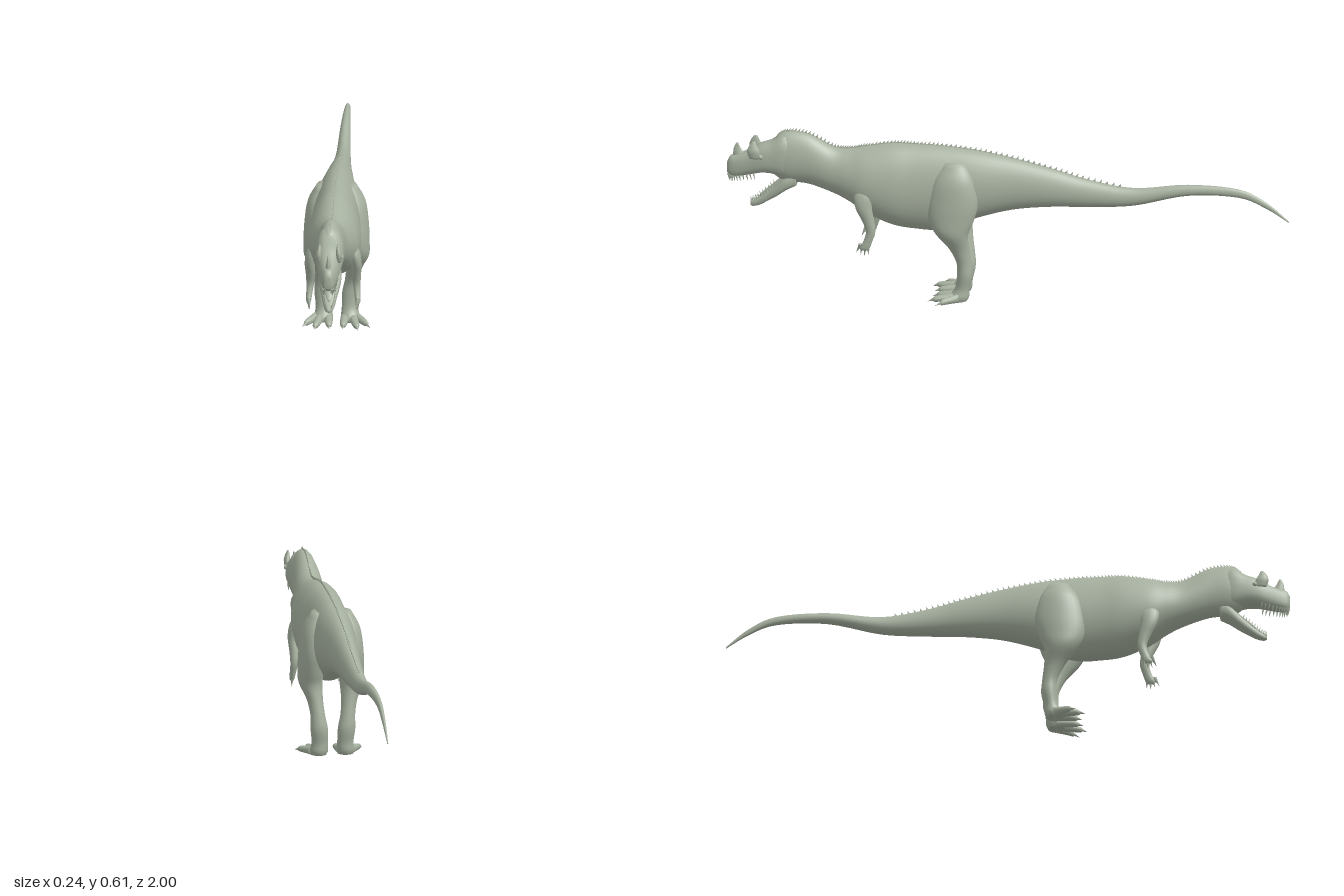
import * as THREE from 'three';
import { mergeGeometries } from 'three/addons/utils/BufferGeometryUtils.js';

const V = (x, y, z) => new THREE.Vector3(x, y, z);

// smooth curves through stations [x, y, z, halfWidth, otherHalf]
function stations(list) {
  const centre = new THREE.CatmullRomCurve3(list.map(p => V(p[0], p[1], p[2])), false, 'catmullrom', 0.5);
  const radii = new THREE.CatmullRomCurve3(list.map(p => V(p[3], p[4], 0)), false, 'catmullrom', 0.5);
  return t => ({ c: centre.getPoint(t), r: radii.getPoint(t) });
}

// closed skin over flat elliptical rings; axis 'z' runs to +z, axis 'y' runs downward
function loft(list, axis = 'z', { seg = 24, per = 4, pow = 1, taper = 0 } = {}) {
  const at = stations(list), rows = (list.length - 1) * per, pos = [], idx = [];
  const bend = v => Math.sign(v) * Math.pow(Math.abs(v), pow);
  for (let i = 0; i <= rows; i++) {
    const { c, r } = at(i / rows);
    for (let j = 0; j < seg; j++) {
      const a = (j / seg) * Math.PI * 2, s = bend(Math.sin(a)) * r.y;
      const w = bend(Math.cos(a)) * r.x * (1 - taper * Math.sin(a));
      pos.push(c.x + w, c.y + (axis === 'z' ? s : 0), c.z + (axis === 'z' ? 0 : s));
      if (i < rows) {
        const p = i * seg + j, q = i * seg + (j + 1) % seg;
        idx.push(p, q, p + seg, q, q + seg, p + seg);
      }
    }
  }
  // end caps
  const first = pos.length / 3, last = rows * seg;
  for (const t of [0, 1]) pos.push(...at(t).c.toArray());
  for (let j = 0; j < seg; j++) {
    const k = (j + 1) % seg;
    idx.push(first, k, j, first + 1, last + j, last + k);
  }
  const g = new THREE.BufferGeometry();
  g.setAttribute('position', new THREE.Float32BufferAttribute(pos, 3));
  g.setIndex(idx);
  g.computeVertexNormals();
  return g;
}

// pointed cone from a to b, optionally flattened sideways
function spike(a, b, radius, flat = 1, seg = 6) {
  const d = b.clone().sub(a), g = new THREE.ConeGeometry(radius, d.length(), seg);
  g.scale(flat, 1, 1);
  g.applyQuaternion(new THREE.Quaternion().setFromUnitVectors(V(0, 1, 0), d.normalize()));
  const m = a.clone().add(b).multiplyScalar(0.5);
  return g.translate(m.x, m.y, m.z);
}

// profile row [z, top, bottom, halfWidth] to station
const row = ([z, top, bottom, w]) => [0, (top + bottom) / 2, z, w, (top - bottom) / 2];

export function createModel() {
  const model = new THREE.Group();
  const skin = new THREE.MeshStandardMaterial({ color: 0xa7b1a0 });
  skin.name = 'sage skin';
  const add = (name, geometry) => {
    const m = new THREE.Mesh(geometry, skin);
    m.name = name;
    model.add(m);
    return m;
  };

  // tail, trunk and neck in one skin
  const bodyRows = [
    [-1, .333, .327, .002], [-.92, .4, .377, .006], [-.82, .446, .415, .01], [-.64, .455, .415, .017],
    [-.45, .434, .37, .025], [-.29, .458, .358, .034], [-.155, .495, .353, .045], [-.02, .528, .337, .058],
    [.11, .552, .3, .076], [.23, .564, .252, .085], [.33, .567, .252, .089], [.41, .567, .265, .094],
    [.5, .553, .305, .09], [.56, .541, .345, .075], [.62, .545, .374, .06], [.71, .589, .403, .051],
    [.79, .594, .41, .049], [.83, .565, .435, .04], [.84, .53, .47, .02],
  ].map(row);
  add('body', loft(bodyRows, 'z', { seg: 36, per: 5, taper: 0.12 }));

  // row of small spines down the back
  const bodyAt = stations(bodyRows), spines = [];
  for (let i = 0; i <= 85; i++) {
    const { c, r } = bodyAt(0.24 + (i / 85) * 0.68), y = c.y + r.y;
    spines.push(spike(V(0, y - .005, c.z), V(0, y + .012, c.z - .008), .007, .35, 5));
  }
  add('backSpines', mergeGeometries(spines));

  // skull with upper jaw
  const skullRows = [
    [.74, .55, .44, .035], [.79, .588, .425, .049], [.84, .56, .438, .048], [.88, .545, .438, .044],
    [.92, .52, .429, .036], [.96, .503, .42, .028], [.985, .495, .42, .02], [.997, .475, .432, .011],
  ].map(row);
  add('skull', loft(skullRows, 'z', { pow: 0.8, taper: 0.1 }));

  // lower jaw hanging open, with tongue
  const jawRows = [
    [.75, .45, .395, .034], [.785, .435, .378, .041], [.82, .401, .353, .036], [.85, .373, .334, .028],
    [.88, .347, .316, .021], [.903, .33, .309, .014], [.915, .322, .311, .006],
  ].map(row);
  add('lowerJaw', loft(jawRows, 'z', { pow: 0.75 }));
  add('tongue', loft([
    [0, .425, .79, .018, .012], [0, .39, .83, .016, .009], [0, .358, .87, .012, .006], [0, .345, .885, .004, .003],
  ], 'z', { seg: 12 }));

  // teeth along both jaws
  const teeth = [], skullAt = stations(skullRows), jawAt = stations(jawRows);
  for (const s of [-1, 1]) {
    for (let i = 0; i < 11; i++) {
      const u = skullAt(0.5 + i * 0.045), l = jawAt(0.4 + i * 0.053);
      const ux = s * u.r.x * .78, uy = u.c.y - u.r.y * .85;
      const lx = s * l.r.x * .78, ly = l.c.y + l.r.y * .8;
      teeth.push(spike(V(ux, uy, u.c.z), V(ux * .95, uy - .024, u.c.z - .004), .004, .7, 5));
      teeth.push(spike(V(lx, ly, l.c.z), V(lx, ly + .016, l.c.z + .005), .0035, .7, 5));
    }
  }
  add('teeth', mergeGeometries(teeth));

  // nose horn
  add('noseHorn', loft([
    [0, .543, .962, .002, .004], [0, .525, .962, .005, .012], [0, .5, .955, .01, .022], [0, .475, .95, .012, .026],
  ], 'y', { seg: 12 }));

  for (const s of [-1, 1]) {
    const side = s > 0 ? 'left' : 'right';

    // brow horn and eye
    add(side + 'BrowHorn', loft([
      [s * .032, .562, .9, .003, .006], [s * .034, .545, .902, .008, .015],
      [s * .036, .525, .9, .011, .023], [s * .036, .5, .895, .008, .02],
    ], 'y', { seg: 12 }));
    const eye = add(side + 'Eye', new THREE.SphereGeometry(.009, 16, 10));
    eye.position.set(s * .042, .508, .875);

    // leg from hip to ankle
    add(side + 'Leg', loft([
      [s * .05, .52, .18, .02, .035], [s * .06, .46, .185, .042, .072], [s * .065, .38, .187, .049, .09],
      [s * .071, .31, .193, .046, .08], [s * .073, .26, .19, .042, .058], [s * .062, .205, .167, .029, .037],
      [s * .054, .15, .15, .026, .027], [s * .049, .1, .147, .031, .028], [s * .046, .05, .155, .029, .026],
      [s * .048, .02, .165, .032, .034], [s * .048, .003, .168, .028, .03],
    ], 'y', { seg: 28 }));

    // three front toes with claws, and a small raised inner toe
    const toes = [[.03, .025, .245], [.055, .073, .256], [.068, .106, .226]];
    toes.forEach(([x0, x1, z1], k) => {
      const at = (t, y, a, b) => [s * (x0 + (x1 - x0) * t), y, .165 + (z1 - .165) * t, a, b];
      add(side + 'Toe' + (k + 1), loft([
        at(0, .017, .016, .017), at(.4, .015, .015, .014), at(.75, .013, .013, .012),
        at(.95, .011, .01, .01), at(1.03, .01, .004, .005),
      ], 'z', { seg: 14 }));
      const dx = k === 2 ? .015 : (x1 - x0) * .25;
      add(side + 'ToeClaw' + (k + 1), spike(V(s * (x1 - dx * .2), .013, z1 - .007), V(s * (x1 + dx), .003, z1 + .02), .008, .8, 8));
    });
    add(side + 'InnerToe', spike(V(s * .03, .052, .15), V(s * .014, .022, .165), .011, .8, 8));

    // arm
    add(side + 'Arm', loft([
      [s * .066, .43, .5, .008, .015], [s * .076, .39, .505, .018, .033], [s * .083, .345, .502, .018, .029],
      [s * .081, .3, .487, .017, .022], [s * .082, .26, .478, .014, .017], [s * .085, .225, .487, .011, .016],
      [s * .087, .2, .498, .009, .018], [s * .087, .19, .5, .005, .012],
    ], 'y', { seg: 18 }));

    // four clawed fingers
    const fingers = [];
    for (let k = 0; k < 4; k++) {
      const z0 = .486 + k * .009, z1 = .482 + k * .015;
      const tip = V(s * (.09 - k * .003), .166 + Math.abs(k - 1) * .006, z1 + .003);
      fingers.push(spike(V(s * .087, .212, z0), tip, .0075, 1, 8));
    }
    add(side + 'Fingers', mergeGeometries(fingers));
  }
  return model;
}
